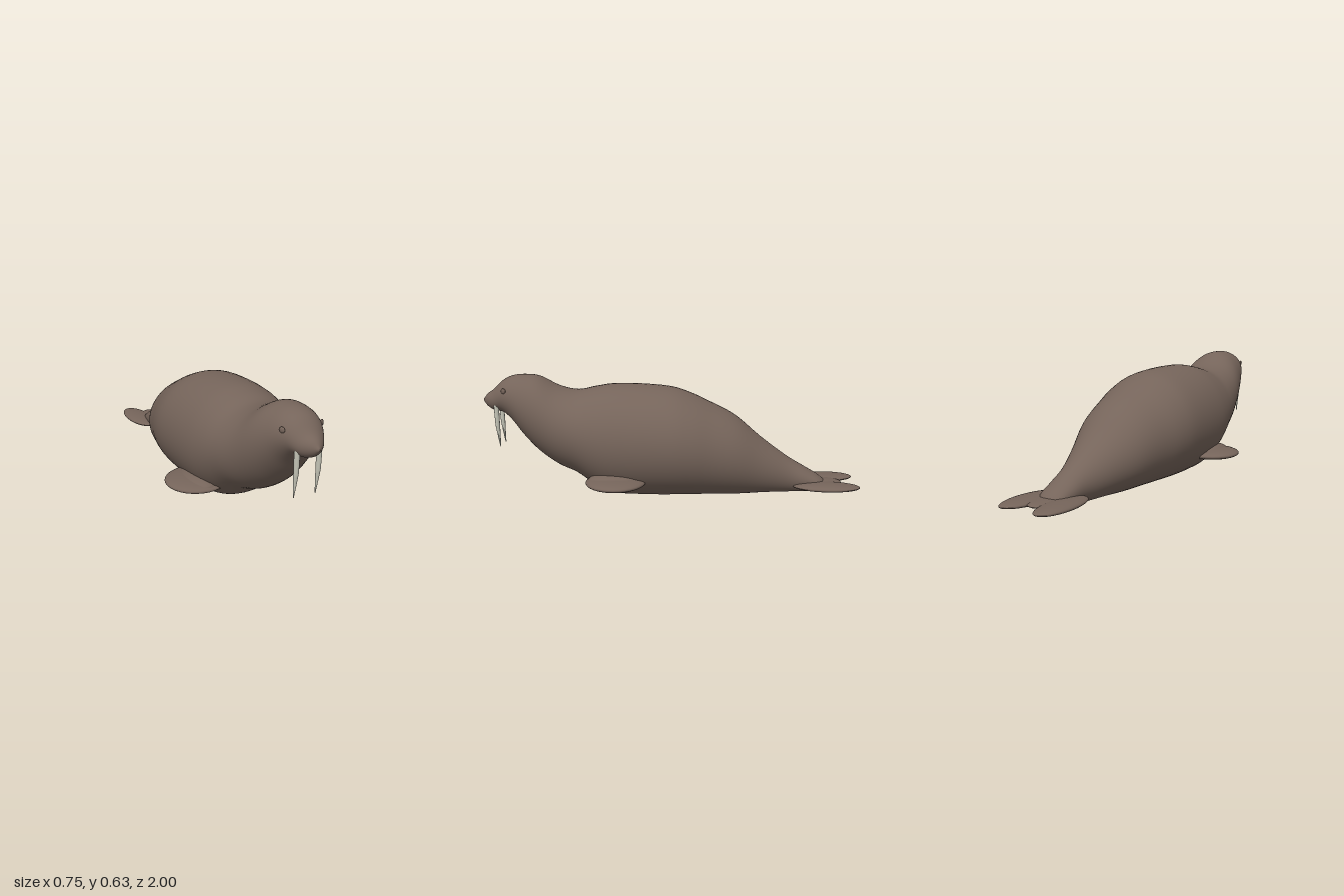
import * as THREE from 'three';

const hide = new THREE.MeshStandardMaterial({ color: 0x75645a });
hide.name = 'brown hide';
const ivory = new THREE.MeshStandardMaterial({ color: 0xc6c6b8 });
ivory.name = 'ivory';

// Body stations from nose to tail: z, top, bottom, half width
const STATIONS = [
  [1.0, 0.495, 0.485, 0.004],
  [0.975, 0.525, 0.455, 0.036],
  [0.94, 0.55, 0.435, 0.066],
  [0.89, 0.597, 0.425, 0.096],
  [0.84, 0.62, 0.38, 0.122],
  [0.78, 0.627, 0.30, 0.148],
  [0.70, 0.618, 0.215, 0.178],
  [0.60, 0.567, 0.145, 0.208],
  [0.50, 0.545, 0.10, 0.238],
  [0.40, 0.563, 0.03, 0.265],
  [0.30, 0.577, -0.012, 0.283],
  [0.15, 0.575, -0.022, 0.295],
  [0.0, 0.56, -0.022, 0.297],
  [-0.10, 0.528, -0.02, 0.283],
  [-0.20, 0.482, -0.02, 0.255],
  [-0.34, 0.408, -0.02, 0.214],
  [-0.48, 0.29, -0.018, 0.152],
  [-0.62, 0.186, -0.015, 0.097],
  [-0.72, 0.125, -0.01, 0.082],
  [-0.79, 0.083, 0.005, 0.07],
  [-0.83, 0.05, 0.03, 0.03],
];

function add(parent, name, geometry, material) {
  const mesh = new THREE.Mesh(geometry, material);
  mesh.name = name;
  parent.add(mesh);
  return mesh;
}

function ellipsoid(parent, name, radii, position) {
  const mesh = add(parent, name, new THREE.SphereGeometry(1, 32, 20), hide);
  mesh.scale.set(...radii);
  mesh.position.set(...position);
  return mesh;
}

// Smooth loft of elliptical rings, flattened where it rests on the ground
function bodyGeometry() {
  const uniform = (points) => new THREE.CatmullRomCurve3(points, false, 'catmullrom', 0.5);
  const heights = uniform(STATIONS.map(([z, t, b]) => new THREE.Vector3(z, t, b)));
  const widths = uniform(STATIONS.map(([, , , w]) => new THREE.Vector3(w, 0, 0)));
  const rings = 100, sides = 56;
  const positions = [], index = [];
  for (let i = 0; i <= rings; i++) {
    const { x: z, y: top, z: bottom } = heights.getPoint(i / rings);
    const w = widths.getPoint(i / rings).x;
    for (let j = 0; j < sides; j++) {
      const a = (j / sides) * Math.PI * 2;
      const y = (top + bottom) / 2 + Math.sin(a) * (top - bottom) / 2;
      positions.push(Math.cos(a) * w, Math.max(0, y), z);
      if (i === rings) continue;
      const k = (j + 1) % sides;
      const A = i * sides + j, B = i * sides + k;
      index.push(A, A + sides, B, B, A + sides, B + sides);
    }
  }
  // Close both ends
  [0, rings].forEach((ring) => {
    const base = ring * sides;
    for (let j = 1; j < sides - 1; j++) {
      if (ring === 0) index.push(base, base + j, base + j + 1);
      else index.push(base, base + j + 1, base + j);
    }
  });
  const g = new THREE.BufferGeometry();
  g.setAttribute('position', new THREE.Float32BufferAttribute(positions, 3));
  g.setIndex(index);
  g.computeVertexNormals();
  return g;
}

// Tapered tusk with a slight bend
function tuskGeometry() {
  const path = new THREE.CatmullRomCurve3([
    new THREE.Vector3(0, 0.475, 0.922),
    new THREE.Vector3(0.002, 0.365, 0.919),
    new THREE.Vector3(0, 0.245, 0.91),
  ]);
  const segments = 16, sides = 14;
  const g = new THREE.TubeGeometry(path, segments, 0.0135, sides, false);
  const p = g.attributes.position;
  for (let i = 0; i < p.count; i++) {
    const t = Math.floor(i / (sides + 1)) / segments;
    const c = path.getPointAt(t);
    const s = t < 0.5 ? 1 - 0.3 * t : 0.85 - 1.4 * (t - 0.5);
    p.setXYZ(i, c.x + (p.getX(i) - c.x) * s, c.y + (p.getY(i) - c.y) * s, c.z + (p.getZ(i) - c.z) * s);
  }
  g.computeVertexNormals();
  return g;
}

export function createModel() {
  const model = new THREE.Group();
  model.name = 'walrus';
  add(model, 'body', bodyGeometry(), hide);

  for (const [side, s] of [['left', 1], ['right', -1]]) {
    // Front flipper and the thicker root that blends it into the chest
    ellipsoid(model, `${side}Flipper`, [0.16, 0.03, 0.155], [s * 0.217, 0.102, 0.285]);
    ellipsoid(model, `${side}FlipperRoot`, [0.085, 0.04, 0.14], [s * 0.21, 0.107, 0.29]);

    // Tail fluke lobe
    const fluke = ellipsoid(model, `${side}Fluke`, [0.074, 0.02, 0.176], [s * 0.094, 0.04, -0.824]);
    fluke.rotation.y = -s * 0.06;

    // Eye
    const eye = ellipsoid(model, `${side}Eye`, [0.007, 0.014, 0.014], [s * 0.1, 0.552, 0.87]);
    eye.rotation.y = -s * 0.4;

    // Tusk
    const tusk = add(model, `${side}Tusk`, tuskGeometry(), ivory);
    tusk.position.x = s * 0.056;
  }

  // Web joining the two flukes
  ellipsoid(model, 'flukeWeb', [0.09, 0.019, 0.165], [0, 0.04, -0.755]);
  return model;
}
